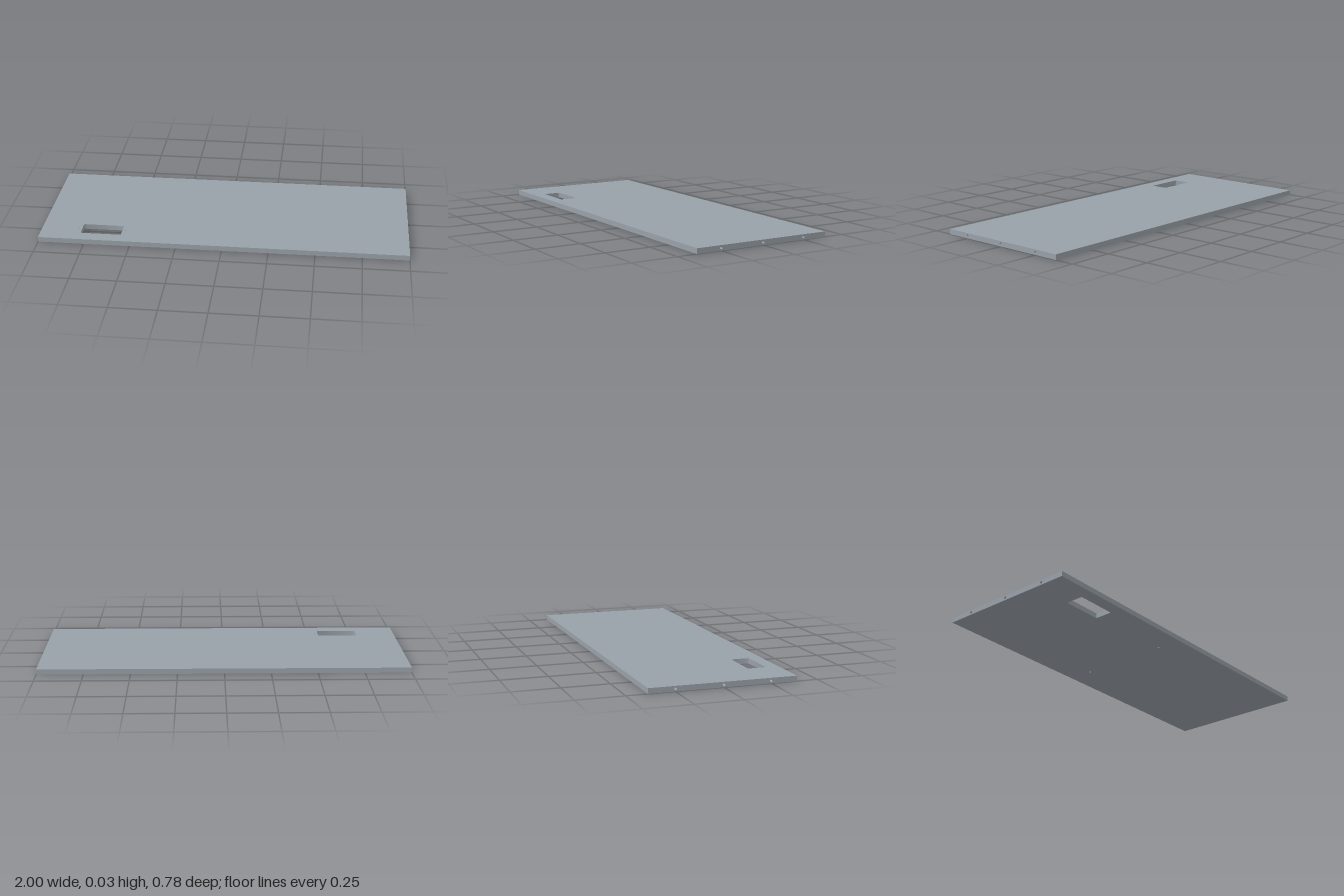
import * as THREE from 'three';
import { toCreasedNormals } from 'three/addons/utils/BufferGeometryUtils.js';

const W = 2, D = 0.78, T = 0.028;

export function createModel() {
  const board = new THREE.Group();
  board.name = 'board';
  const material = new THREE.MeshStandardMaterial({ color: 0x98a0a8 });

  function add(parent, geometry, name) {
    const mesh = new THREE.Mesh(geometry, material);
    mesh.name = name;
    parent.add(mesh);
  }

  // Hole outlines, counter-clockwise
  function circle(x, y, r) {
    return new THREE.Path().absarc(x, y, r, 0, Math.PI * 2).getPoints(24).slice(0, -1);
  }
  function roundedRect(x, y, w, h, r) {
    const a = w / 2 - r, b = h / 2 - r;
    const path = new THREE.Path();
    [[a, b], [-a, b], [-a, -b], [a, -b]].forEach(([cx, cy], i) =>
      path.absarc(x + cx, y + cy, r, i * Math.PI / 2, (i + 1) * Math.PI / 2));
    return path.getPoints(6);
  }

  // Inward-facing wall of a hole sunk from z = 0 to z = -depth
  function wall(points, depth) {
    const pos = [];
    points.forEach((p, i) => {
      const q = points[(i + 1) % points.length];
      if (p.distanceTo(q) < 1e-6) return;
      pos.push(p.x, p.y, 0, q.x, q.y, 0, q.x, q.y, -depth);
      pos.push(p.x, p.y, 0, q.x, q.y, -depth, p.x, p.y, -depth);
    });
    const g = new THREE.BufferGeometry();
    g.setAttribute('position', new THREE.Float32BufferAttribute(pos, 3));
    return toCreasedNormals(g, Math.PI / 5);
  }

  // One flat side of the board with its holes, turned outwards
  function side(name, w, h, position, rotation, holes = []) {
    const group = new THREE.Group();
    group.name = name;
    const shape = new THREE.Shape([[-1, -1], [1, -1], [1, 1], [-1, 1]]
      .map(([x, y]) => new THREE.Vector2(x * w / 2, y * h / 2)));
    for (const { name: holeName, points, depth, floor } of holes) {
      shape.holes.push(new THREE.Path(points));
      if (depth) add(group, wall(points, depth), holeName);
      if (floor) add(group, new THREE.ShapeGeometry(new THREE.Shape(points)).translate(0, 0, -depth), holeName + 'Floor');
    }
    add(group, new THREE.ShapeGeometry(shape), name + 'Face');
    group.position.set(...position);
    group.rotation.set(...rotation);
    board.add(group);
  }

  const blind = (name, x, y, r, depth) => ({ name, points: circle(x, y, r), depth, floor: true });
  const cutout = (y, depth) => ({ name: 'cutoutWall', points: roundedRect(-0.668, y, 0.222, 0.098, 0.008), depth });
  const dowels = [-0.25, 0, 0.25].map(x => blind('dowelHole', x, 0, 0.007, 0.04));
  const q = Math.PI / 2;

  // Top with the cable cutout and a screw hole at each end of it
  side('top', W, D, [0, T, 0], [-q, 0, 0], [
    cutout(-0.271, T),
    ...[-0.796, -0.54].map(x => blind('screwHole', x, -0.271, 0.003, 0.015)),
  ]);

  // Underside with two holes for a middle support
  side('underside', W, D, [0, 0, 0], [q, 0, 0], [
    cutout(0.271, 0),
    ...[-0.25, 0.25].map(y => blind('supportHole', -0.075, y, 0.007, 0.018)),
  ]);

  // Ends with dowel holes, then the plain long edges
  for (const s of [1, -1]) {
    side(s > 0 ? 'leftEnd' : 'rightEnd', D, T, [s * W / 2, T / 2, 0], [0, s * q, 0], dowels);
    side(s > 0 ? 'frontEdge' : 'backEdge', W, T, [0, T / 2, s * D / 2], [0, s > 0 ? 0 : Math.PI, 0]);
  }
  return board;
}
